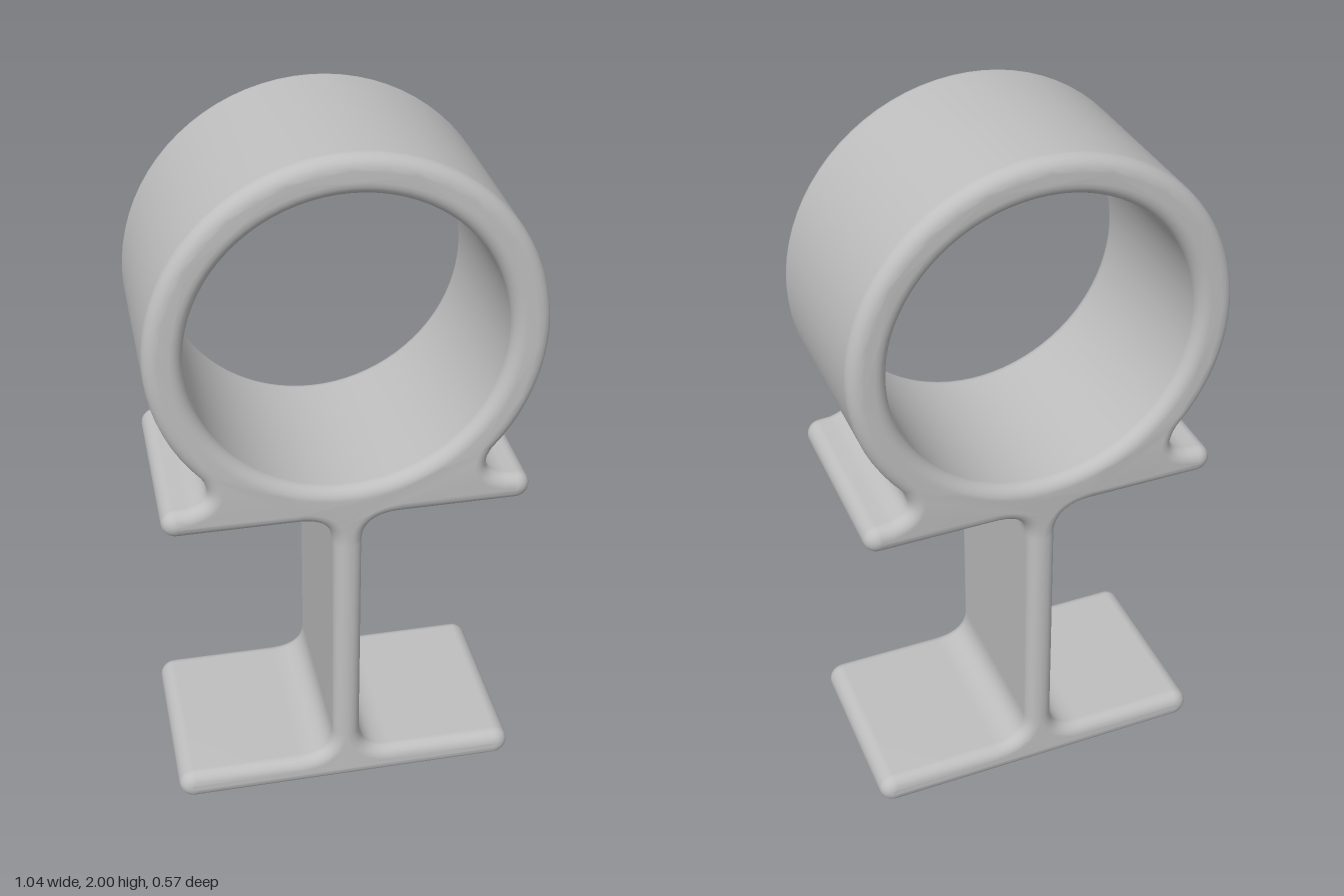
import * as THREE from 'three';
import { mergeVertices } from 'three/addons/utils/BufferGeometryUtils.js';

const RING_Y = 1.48, RING_R = 0.52, HOLE_R = 0.417;
const BEVEL = 0.036, DEPTH = 0.56;

// Right half of the outline, from the base centre up to the top of the ring
function halfOutline() {
  const p = new THREE.Path();
  p.moveTo(0, 0);
  // base flange with rounded end
  p.lineTo(0.455, 0);
  p.absarc(0.455, 0.045, 0.045, -Math.PI / 2, Math.PI / 2, false);
  p.lineTo(0.14, 0.09);
  // web, filleted into both flanges
  p.quadraticCurveTo(0.04, 0.09, 0.04, 0.18);
  p.lineTo(0.04, 0.87);
  p.quadraticCurveTo(0.04, 0.96, 0.14, 0.96);
  // upper flange
  p.lineTo(0.46, 0.96);
  p.absarc(0.46, 1.0, 0.04, -Math.PI / 2, Math.PI / 2, false);
  // fillet into the ring
  const a = -0.7255;
  p.lineTo(0.43, 1.042);
  p.quadraticCurveTo(0.345, 1.06, RING_R * Math.cos(a), RING_Y + RING_R * Math.sin(a));
  p.absarc(0, RING_Y, RING_R, a, Math.PI / 2, false);
  const pts = [];
  for (const q of p.getPoints(14)) {
    if (!pts.length || q.distanceTo(pts[pts.length - 1]) > 0.002) pts.push(q);
  }
  return pts;
}

export function createModel() {
  const group = new THREE.Group();
  group.name = 'ringStand';
  const grey = new THREE.MeshStandardMaterial({ color: 0xbfbfbf });
  grey.name = 'light grey';

  // Mirror the half outline and cut the ring opening
  const right = halfOutline();
  const left = right.slice(1, -1).reverse().map(q => new THREE.Vector2(-q.x, q.y));
  const shape = new THREE.Shape([...right, ...left]);
  const hole = new THREE.Path();
  hole.absarc(0, RING_Y, HOLE_R, 0, Math.PI * 2, true);
  shape.holes.push(hole);

  let geo = new THREE.ExtrudeGeometry(shape, {
    depth: DEPTH - 2 * BEVEL, curveSegments: 40, bevelEnabled: true,
    bevelThickness: BEVEL, bevelSize: BEVEL, bevelOffset: -BEVEL, bevelSegments: 5,
  });
  geo.translate(0, 0, BEVEL - DEPTH / 2);

  // The ring is slightly deeper than the beam below it
  const pos = geo.attributes.position;
  for (let i = 0; i < pos.count; i++) {
    const t = THREE.MathUtils.smoothstep(pos.getY(i), 0.85, 1.1);
    pos.setZ(i, pos.getZ(i) * (0.98 + 0.035 * t));
  }

  // Weld for smooth normals
  geo.deleteAttribute('uv');
  geo.deleteAttribute('normal');
  geo.clearGroups();
  geo = mergeVertices(geo, 1e-4);
  geo.computeVertexNormals();

  const body = new THREE.Mesh(geo, grey);
  body.name = 'ringAndBeam';
  group.add(body);
  return group;
}
